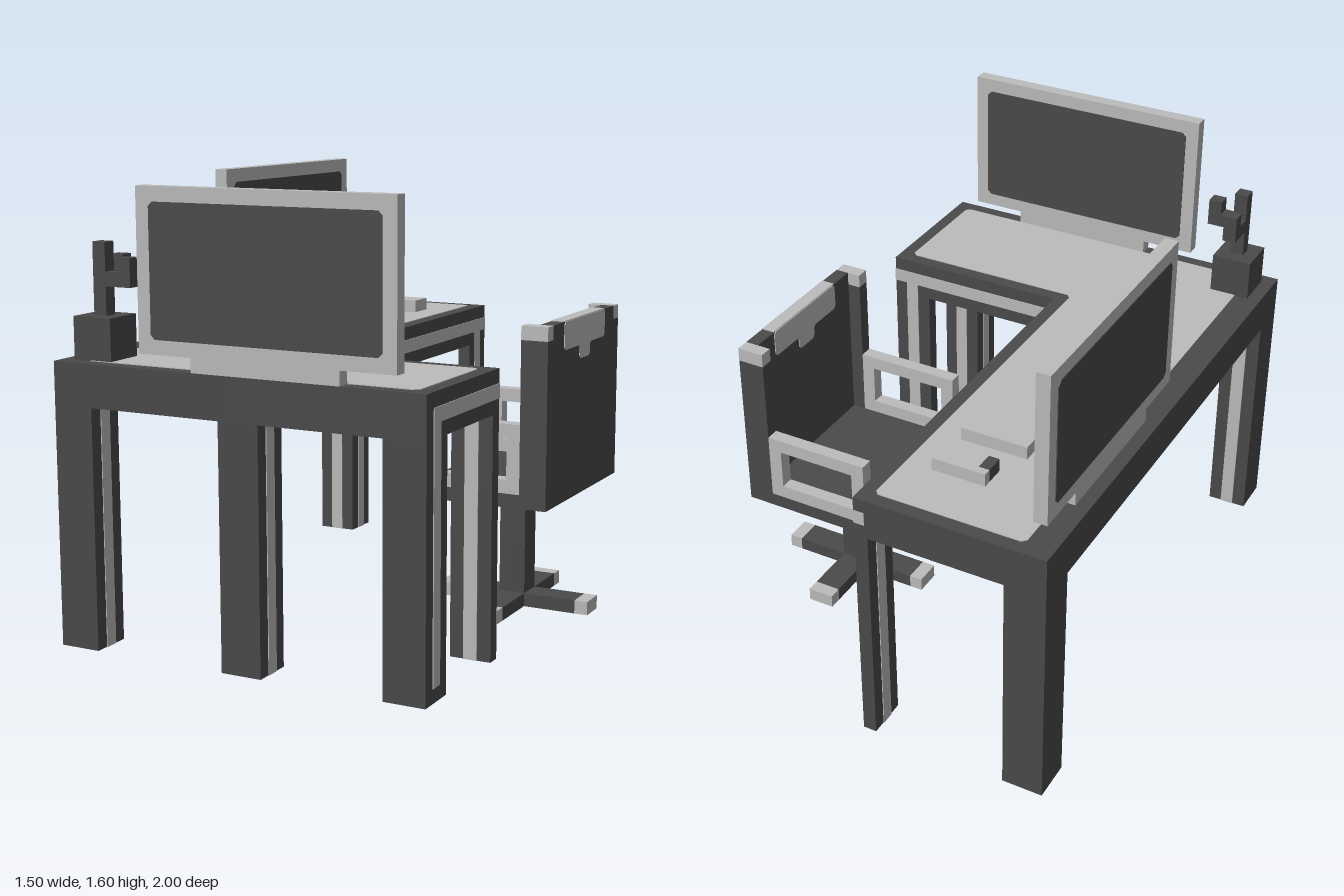
import * as THREE from 'three';

const dark = new THREE.MeshStandardMaterial({ color: 0x4a4a4a });
dark.name = 'charcoal';
const light = new THREE.MeshStandardMaterial({ color: 0xbcbcbc });
light.name = 'pale grey';

const E = 0.003; // thickness of painted plates

// Box given by its limits on each axis
function box(parent, name, mat, [x0, x1], [y0, y1], [z0, z1]) {
  const mesh = new THREE.Mesh(new THREE.BoxGeometry(x1 - x0, y1 - y0, z1 - z0), mat);
  mesh.position.set((x0 + x1) / 2, (y0 + y1) / 2, (z0 + z1) / 2);
  mesh.name = name;
  parent.add(mesh);
  return mesh;
}

function group(parent, name) {
  const g = new THREE.Group();
  g.name = name;
  parent.add(g);
  return g;
}

// Thin plate with small cut corners, lying in the xy plane
function plate(parent, name, mat, pts, cut = 0.015, depth = E) {
  const corners = pts.map(p => new THREE.Vector2(...p));
  const outline = [];
  corners.forEach((p, i) => {
    for (const q of [corners.at(i - 1), corners[(i + 1) % corners.length]]) {
      outline.push(p.clone().add(q.clone().sub(p).setLength(cut)));
    }
  });
  const geo = new THREE.ExtrudeGeometry(new THREE.Shape(outline), { depth, bevelEnabled: false });
  const mesh = new THREE.Mesh(geo, mat);
  mesh.name = name;
  parent.add(mesh);
  return mesh;
}

// Pale stripe on the sides of a leg; sides use +x, -x, +z, -z
function legStripes(parent, [x0, x1], [z0, z1], sides, y0, y1) {
  const y = [y0, y1], xs = [x0 + 0.05, x1 - 0.05], zs = [z0 + 0.05, z1 - 0.05];
  for (const s of sides) {
    if (s === '+x') box(parent, 'legStripe', light, [x1, x1 + E], y, zs);
    if (s === '-x') box(parent, 'legStripe', light, [x0 - E, x0], y, zs);
    if (s === '+z') box(parent, 'legStripe', light, xs, y, [z1, z1 + E]);
    if (s === '-z') box(parent, 'legStripe', light, xs, y, [z0 - E, z0]);
  }
}

function buildDesk(root) {
  const desk = group(root, 'desk');
  // L-shaped top
  box(desk, 'mainTop', dark, [-0.75, -0.05], [0.85, 1], [-1, 1]);
  box(desk, 'wingTop', dark, [-0.05, 0.65], [0.85, 1], [0.45, 1]);
  const inset = plate(desk, 'workSurface', light, [
    [-0.65, -0.95], [0.6, -0.95], [0.6, -0.5], [-0.1, -0.5], [-0.1, 0.95], [-0.65, 0.95],
  ]);
  inset.rotation.x = -Math.PI / 2;
  inset.position.y = 1;

  // Legs with the sides that carry a stripe
  const legs = [
    [[-0.75, -0.6], [0.85, 1], ['+x', '-z']],
    [[-0.1, 0.05], [0.85, 1], ['+x', '-x', '-z']],
    [[0.5, 0.65], [0.85, 1], ['-x', '-z']],
    [[0.5, 0.65], [0.45, 0.5], ['+z']],
    [[-0.75, -0.6], [-1, -0.85], ['+x', '+z']],
    [[-0.1, -0.05], [-1, -0.85], ['-x']],
  ];
  for (const [x, z, sides] of legs) {
    box(desk, 'deskLeg', dark, x, [0, 0.85], z);
    legStripes(desk, x, z, sides, 0, 0.85);
  }
  // Stripes that run up into the edge band
  legStripes(desk, [0.5, 0.65], [0.85, 1], ['+x'], 0.05, 0.9);
  legStripes(desk, [0.5, 0.65], [0.45, 0.5], ['-z'], 0, 0.9);
  legStripes(desk, [-0.1, -0.05], [-1, -0.85], ['+x'], 0, 0.9);

  // Edge band around the inner side of the top
  const y = [0.9, 0.95];
  box(desk, 'edgeBand', light, [0.65, 0.65 + E], y, [0.45, 0.95]);
  box(desk, 'edgeBand', light, [-0.05, 0.65], y, [0.45 - E, 0.45]);
  box(desk, 'edgeBand', light, [-0.05, -0.05 + E], y, [-1, 0.45]);
  box(desk, 'edgeBandEnd', light, [-0.09, -0.05], y, [-1 - E / 2, -1]);
}

// Monitor centred on x, standing on y = 0, 0.05 thick
function buildMonitor(root, name) {
  const m = group(root, name);
  box(m, 'monitorStand', light, [-0.275, 0.275], [0, 0.05], [-0.025, 0.025]);
  box(m, 'monitorBody', light, [-0.475, 0.475], [0.05, 0.6], [-0.025, 0.025]);
  const pts = [[-0.425, 0.1], [0.425, 0.1], [0.425, 0.55], [-0.425, 0.55]];
  plate(m, 'screen', dark, pts).position.z = 0.025;
  plate(m, 'backPanel', dark, pts).position.z = -0.025 - E;
  return m;
}

function buildPlant(root) {
  const p = group(root, 'cactus');
  box(p, 'pot', dark, [-0.7, -0.55], [1, 1.15], [0.8, 0.95]);
  box(p, 'stem', dark, [-0.65, -0.6], [1.15, 1.4], [0.85, 0.9]);
  box(p, 'sideBranch', dark, [-0.6, -0.5], [1.25, 1.3], [0.85, 0.9]);
  box(p, 'sideBranchTip', dark, [-0.55, -0.5], [1.3, 1.35], [0.85, 0.9]);
  box(p, 'rearBranch', dark, [-0.65, -0.6], [1.25, 1.3], [0.75, 0.85]);
  box(p, 'rearBranchTip', dark, [-0.65, -0.6], [1.3, 1.35], [0.75, 0.8]);
}

function buildChair(root) {
  const c = group(root, 'chair');
  c.position.set(0.45, 0, -0.2);
  // Crossed foot with pale ends, and column
  for (const turn of [0, 1, 2, 3]) {
    const foot = group(c, 'foot');
    foot.rotation.y = turn * Math.PI / 2;
    box(foot, 'footBar', dark, [0.05, 0.25], [0, 0.05], [-0.05, 0.05]);
    box(foot, 'footEnd', light, [0.25, 0.3], [0, 0.05], [-0.05, 0.05]);
  }
  box(c, 'column', dark, [-0.05, 0.05], [0, 0.45], [-0.05, 0.05]);
  box(c, 'seat', dark, [-0.25, 0.2], [0.45, 0.5], [-0.35, 0.35]);
  box(c, 'backrest', dark, [0.2, 0.25], [0.45, 1.1], [-0.3, 0.3]);

  for (const side of [-1, 1]) {
    const z = side < 0 ? [-0.35, -0.3] : [0.3, 0.35];
    // Backrest posts with pale caps
    box(c, 'backPost', dark, [0.15, 0.25], [0.45, 1.05], z);
    box(c, 'postCap', light, [0.15, 0.25], [1.05, 1.1], z);
    // Open armrest frame
    box(c, 'armTop', light, [-0.25, 0.15], [0.7, 0.75], z);
    box(c, 'armBottom', light, [-0.25, 0.15], [0.5, 0.55], z);
    box(c, 'armFront', light, [-0.25, -0.2], [0.55, 0.7], z);
    box(c, 'armRear', light, [0.1, 0.15], [0.55, 0.7], z);
  }

  // Pale cloth over the top of the backrest
  box(c, 'clothTop', light, [0.2, 0.25], [1.1, 1.1 + E], [-0.2, 0.2]);
  const cloth = [[-0.2, 1.1], [-0.2, 1], [-0.05, 1], [-0.05, 0.95], [0.05, 0.95], [0.05, 1], [0.2, 1], [0.2, 1.1]];
  for (const x of [0.25, 0.2 - E]) {
    const drape = plate(c, 'clothDrape', light, cloth, 0.01);
    drape.rotation.y = Math.PI / 2;
    drape.position.x = x;
  }
}

export function createModel() {
  const root = new THREE.Group();
  root.name = 'cornerDeskSet';
  buildDesk(root);

  buildMonitor(root, 'frontMonitor').position.set(0.075, 1, 0.975);
  const sideMonitor = buildMonitor(root, 'sideMonitor');
  sideMonitor.rotation.y = Math.PI / 2;
  sideMonitor.position.set(-0.675, 1, -0.425);

  box(root, 'keyboard', light, [-0.45, -0.2], [1, 1.05], [-0.55, 0.3]);
  box(root, 'mouse', light, [-0.36, -0.2], [1, 1.05], [-0.75, -0.65]);
  box(root, 'mouseEndCorner', light, [-0.4, -0.36], [1, 1.05], [-0.75, -0.72]);
  box(root, 'mouseEnd', dark, [-0.4, -0.36], [1, 1.05], [-0.72, -0.65]);

  buildPlant(root);
  buildChair(root);
  return root;
}
